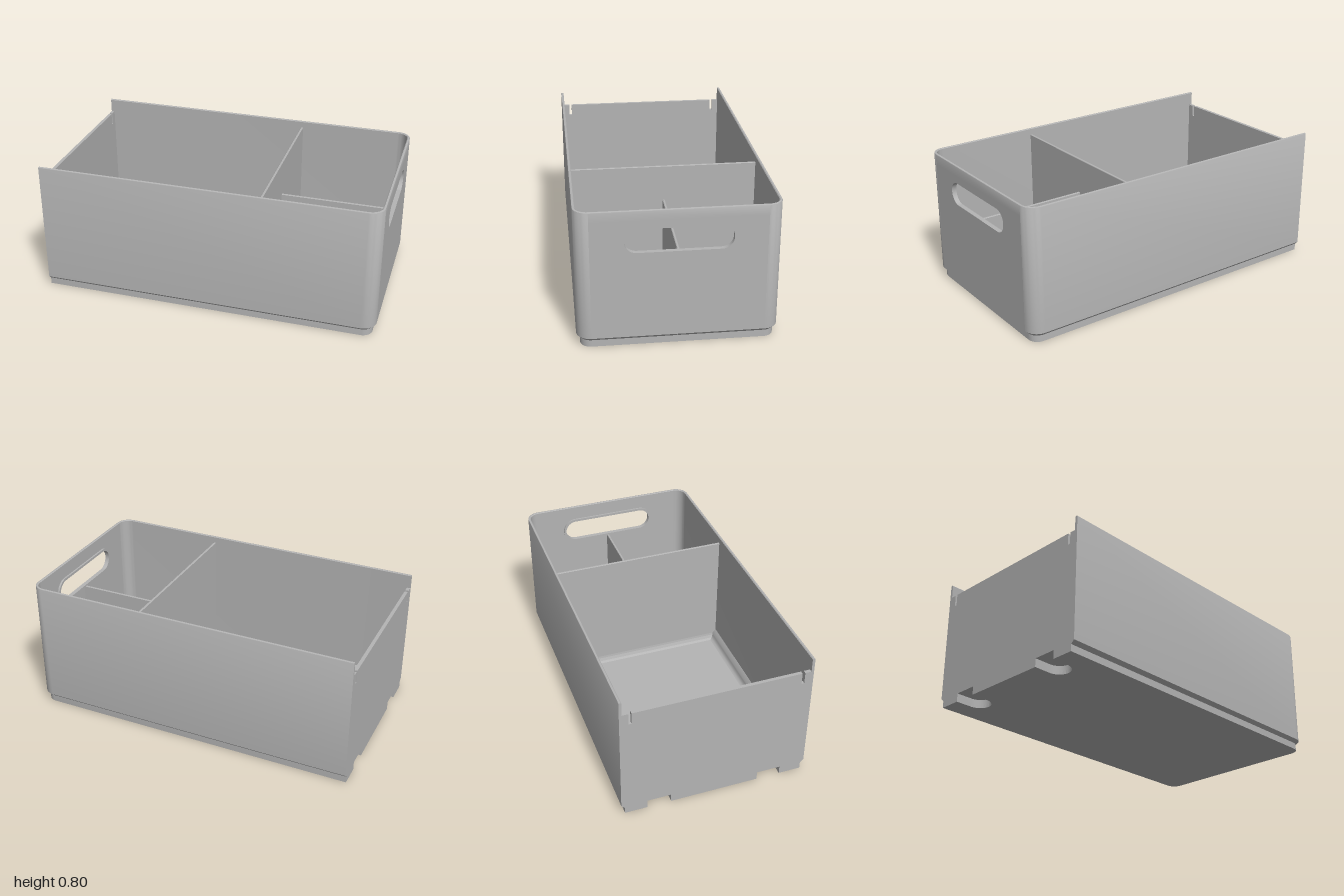
import * as THREE from 'three';
import { toCreasedNormals } from 'three/addons/utils/BufferGeometryUtils.js';

const grey = new THREE.MeshStandardMaterial({ color: 0xb4b4b4 });
grey.name = 'grey plastic';

const V = (a) => a.map(([x, y]) => new THREE.Vector2(x, y));

// Two halves of a U-shaped plan path, open at x = -1, with inward normals
function uPath(end, half, r, midZ = 0, n = 10) {
  const front = [{ x: -1, z: midZ + half, nx: 0, nz: -1 }];
  const back = [];
  for (let i = 0; i <= n; i++) {
    const a = (Math.PI / 2) * (1 - i / n), c = Math.cos(a), s = Math.sin(a);
    front.push({ x: end - r + r * c, z: midZ + half - r + r * s, nx: -c, nz: -s });
  }
  for (let i = front.length - 1; i >= 0; i--) {
    const p = front[i];
    back.push({ x: p.x, z: 2 * midZ - p.z, nx: p.nx, nz: -p.nz });
  }
  return { front, back };
}

// Sweep a closed profile of [inset, height] points along a plan path
function sweep(profile, path) {
  const pos = [], idx = [], m = profile.length;
  for (const p of path)
    for (const [d, y] of profile) pos.push(p.x + p.nx * d, y, p.z + p.nz * d);
  for (let j = 0; j < path.length - 1; j++)
    for (let i = 0; i < m; i++) {
      const a = j * m + i, b = j * m + ((i + 1) % m);
      idx.push(a, b, b + m, a, b + m, a + m);
    }
  const last = (path.length - 1) * m;
  for (const [a, b, c] of THREE.ShapeUtils.triangulateShape(V(profile), [])) {
    idx.push(a, c, b, last + a, last + b, last + c);
  }
  const g = new THREE.BufferGeometry();
  g.setAttribute('position', new THREE.Float32BufferAttribute(pos, 3));
  g.setIndex(idx);
  return toCreasedNormals(g, 0.65);
}

const extrude = (shape, depth) =>
  new THREE.ExtrudeGeometry(shape, { depth, bevelEnabled: false, curveSegments: 16 });

// Horizontal slot outline in the end wall
function slot(Type, half, low, high) {
  const r = (high - low) / 2, s = new Type();
  s.moveTo(-half + r, low);
  s.lineTo(half - r, low);
  s.absarc(half - r, low + r, r, -Math.PI / 2, Math.PI / 2, false);
  s.lineTo(-half + r, high);
  s.absarc(-half + r, low + r, r, Math.PI / 2, Math.PI * 1.5, false);
  return s;
}

export function createModel() {
  const root = new THREE.Group();
  root.name = 'storageBin';
  const add = (name, geometry, x = 0, y = 0, z = 0) => {
    const mesh = new THREE.Mesh(geometry, grey);
    mesh.name = name;
    mesh.position.set(x, y, z);
    root.add(mesh);
  };

  // Long walls with rounded corners and a stepped foot
  const { front, back } = uPath(1, 0.55, 0.08);
  const foot = [[0.02, 0], [0.06, 0], [0.06, 0.02], [0.046, 0.027], [0.037, 0.045], [0.036, 0.06], [0.016, 0.085]];
  const step = [[0, 0.06], [0.02, 0.04]];
  const rim = [[0.016, 0.796], [0.012, 0.8], [0.005, 0.8], [0.0015, 0.7985], [0, 0.795]];
  const wall = [...foot, ...rim, ...step];
  add('frontWall', sweep(wall, front));
  add('backWall', sweep(wall, back));

  // End wall in three bands, the middle one with the handle opening
  const endPath = [front[front.length - 1], back[0]];
  add('endWallLower', sweep([...foot, [0.016, 0.52], [0, 0.52], ...step], endPath));
  add('endWallRim', sweep([[0, 0.74], [0.016, 0.74], ...rim], endPath));
  const band = new THREE.Shape(V([[-0.47, 0.52], [0.47, 0.52], [0.47, 0.74], [-0.47, 0.74]]));
  band.holes.push(slot(THREE.Path, 0.29, 0.56, 0.695));
  add('handlePanel', extrude(band, 0.016).rotateY(Math.PI / 2), 0.984);
  const collar = slot(THREE.Shape, 0.305, 0.545, 0.71);
  collar.holes.push(slot(THREE.Path, 0.29, 0.56, 0.695));
  add('handleCollar', extrude(collar, 0.012).rotateY(Math.PI / 2), 0.973);

  // Floor with two round-ended notches
  const outline = [...front, ...back].map((p) => [p.x + p.nx * 0.02, p.z + p.nz * 0.02]);
  for (const z of [-0.33, 0.33]) {
    outline.push([-1, z - 0.07]);
    for (let i = 0; i <= 12; i++) {
      const a = -Math.PI / 2 + (Math.PI * i) / 12;
      outline.push([-0.9 + 0.07 * Math.cos(a), z + 0.07 * Math.sin(a)]);
    }
    outline.push([-1, z + 0.07]);
  }
  add('floor', extrude(new THREE.Shape(V(outline)), 0.02).rotateX(Math.PI / 2), 0, 0.02);

  // Hollow humps over the notches
  const hump = [[0, 0.015], [0.06, 0.015], [0.06, 0.05], [0.13, 0.05], [0.13, 0.092],
    [0.065, 0.092], [0.052, 0.087], [0.042, 0.077], [0.012, 0.034], [0, 0.02]];
  for (const z of [-0.33, 0.33]) {
    const h = uPath(-0.77, 0.13, 0.13, z);
    const path = [...h.front, ...h.back.slice(1)];
    path[0].x = path[path.length - 1].x = -0.995;
    add('notchHump', sweep(hump, path));
  }

  // Lower open-side wall with notches below and small slits in its top edge
  const half = [[0.26, 0], [0.26, 0.05], [0.4, 0.05], [0.4, 0], [0.53, 0], [0.53, 0.04], [0.545, 0.055],
    [0.545, 0.715], [0.498, 0.715], [0.498, 0.645], [0.482, 0.645], [0.482, 0.715]];
  const mirrored = half.map(([s, y]) => [-s, y]).reverse();
  add('lowWall', extrude(new THREE.Shape(V([...half, ...mirrored])), 0.02).rotateY(Math.PI / 2), -1);

  // Dividers with a flared base
  const dividerParts = (top) => [
    [[0.03, 0.02], [0.016, 0.028], [0.009, 0.046]],
    [[0.009, 0.045], [0.007, 0.06], [0.007, top - 0.003], [0.004, top]],
  ].map((side) => new THREE.Shape(V([...side, ...side.map(([s, y]) => [-s, y]).reverse()])));

  const [crossBase, crossTop] = dividerParts(0.76);
  add('crossDividerBase', extrude(crossBase, 1.04), 0.31, 0, -0.52);
  add('crossDivider', extrude(crossTop, 1.07), 0.31, 0, -0.535);
  const [midBase, midTop] = dividerParts(0.55);
  add('middleDividerBase', extrude(midBase, 0.66).rotateY(Math.PI / 2), 0.31);
  add('middleDivider', extrude(midTop, 0.676).rotateY(Math.PI / 2), 0.31);

  return root;
}
